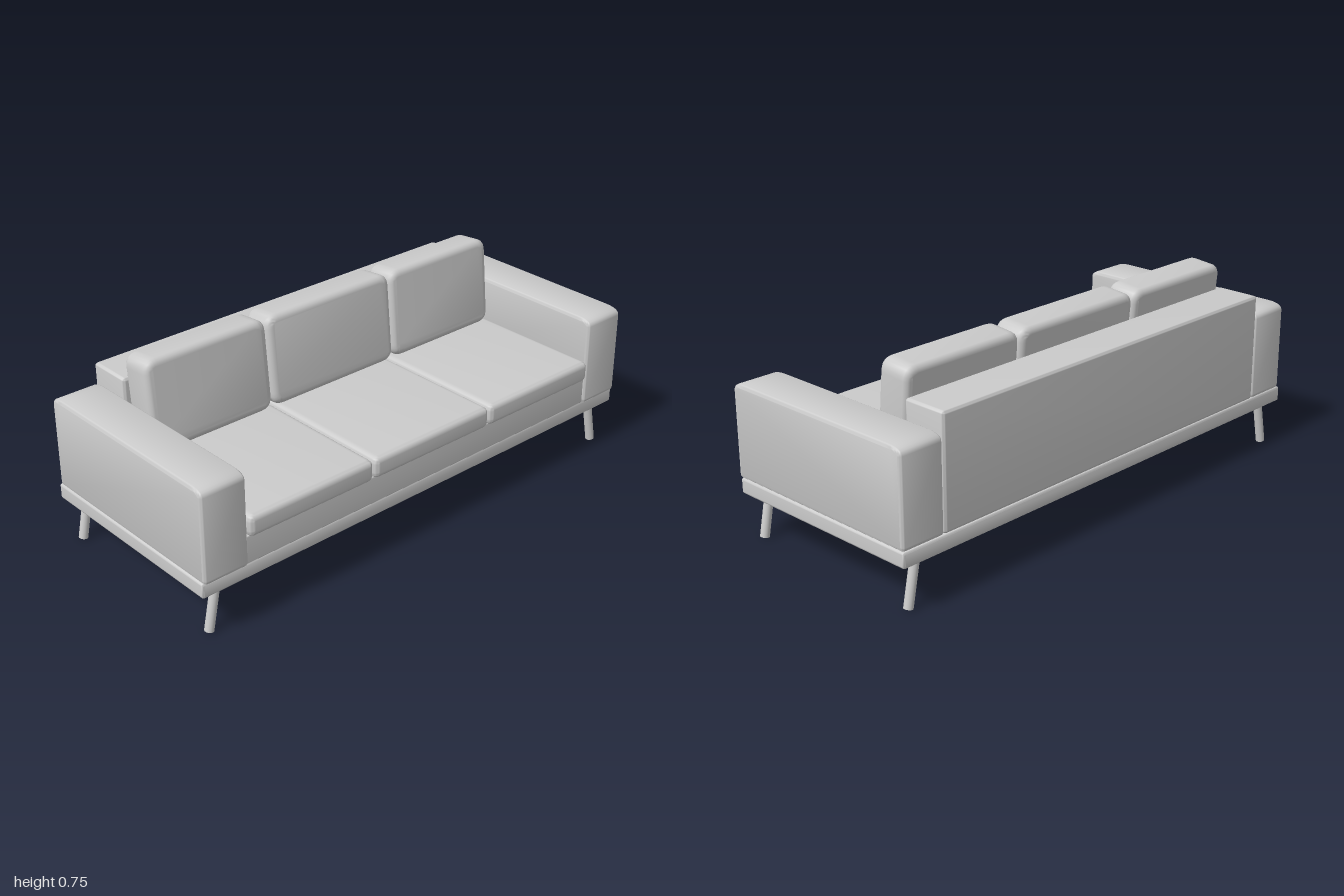
import * as THREE from 'three';
import { toCreasedNormals } from 'three/addons/utils/BufferGeometryUtils.js';

const material = new THREE.MeshStandardMaterial({ color: 0xcccccc });

// Centred block: w x h outline with rounded corners, d deep, all edges bevelled.
// rx, ry: top corner radii; rb: bottom corner radius.
function softBlock(w, h, d, bevel, rx = bevel * 1.1, ry = rx, rb = rx) {
  const x = w / 2, y = h / 2;
  const s = new THREE.Shape();
  s.moveTo(-x + rb, -y);
  s.lineTo(x - rb, -y);
  s.quadraticCurveTo(x, -y, x, -y + rb);
  s.lineTo(x, y - ry);
  s.quadraticCurveTo(x, y, x - rx, y);
  s.lineTo(-x + rx, y);
  s.quadraticCurveTo(-x, y, -x, y - ry);
  s.lineTo(-x, -y + rb);
  s.quadraticCurveTo(-x, -y, -x + rb, -y);
  const geometry = new THREE.ExtrudeGeometry(s, {
    depth: d - 2 * bevel, bevelThickness: bevel, bevelSize: bevel,
    bevelOffset: -bevel, bevelSegments: 5, curveSegments: 6,
  });
  geometry.translate(0, 0, -d / 2 + bevel);
  return toCreasedNormals(geometry, 0.7);
}

export function createModel() {
  const sofa = new THREE.Group();
  sofa.name = 'sofa';

  function add(name, geometry, x, y, z) {
    const mesh = new THREE.Mesh(geometry, material);
    mesh.name = name;
    mesh.position.set(x, y, z);
    sofa.add(mesh);
    return mesh;
  }

  // Platform, seat support and backrest
  add('basePlatform', softBlock(2, 0.058, 0.828, 0.008), 0, 0.2, -0.011);
  add('seatSupport', softBlock(1.65, 0.11, 0.66, 0.008), 0, 0.28, 0.075);
  add('backrest', softBlock(1.64, 0.418, 0.175, 0.012), 0, 0.436, -0.334);

  // Arms: side profile extruded across the width
  const armGeometry = softBlock(0.836, 0.351, 0.178, 0.014, 0.065, 0.028, 0.0155);
  armGeometry.rotateY(Math.PI / 2);
  for (const side of [-1, 1]) {
    add(side > 0 ? 'leftArm' : 'rightArm', armGeometry, side * 0.909, 0.4015, -0.003);
  }

  // Three seat cushions with leaning back cushions
  const backWidths = [0.515, 0.586, 0.515];
  [-1, 0, 1].forEach((i) => {
    const seatWidth = i === 0 ? 0.556 : 0.536;
    add('seatCushion', softBlock(seatWidth, 0.082, 0.675, 0.022, 0.025), i * 0.55, 0.37, 0.0875);
    const back = add('backCushion', softBlock(backWidths[i + 1], 0.345, 0.134, 0.026, 0.05),
      i * 0.554, 0.574, -0.171);
    back.rotation.x = -0.095;
  });

  // Splayed legs, leaning outwards to the sides
  const top = 0.175, splay = 0.035;
  const legLength = Math.hypot(top, splay);
  for (const side of [-1, 1]) {
    for (const [name, z] of [['frontLeg', 0.357], ['backLeg', -0.383]]) {
      const leg = add(name, new THREE.CylinderGeometry(0.017, 0.017, legLength, 20),
        side * 0.933, top / 2 + 0.003, z);
      leg.rotation.z = side * Math.atan2(splay, top);
    }
  }
  return sofa;
}
